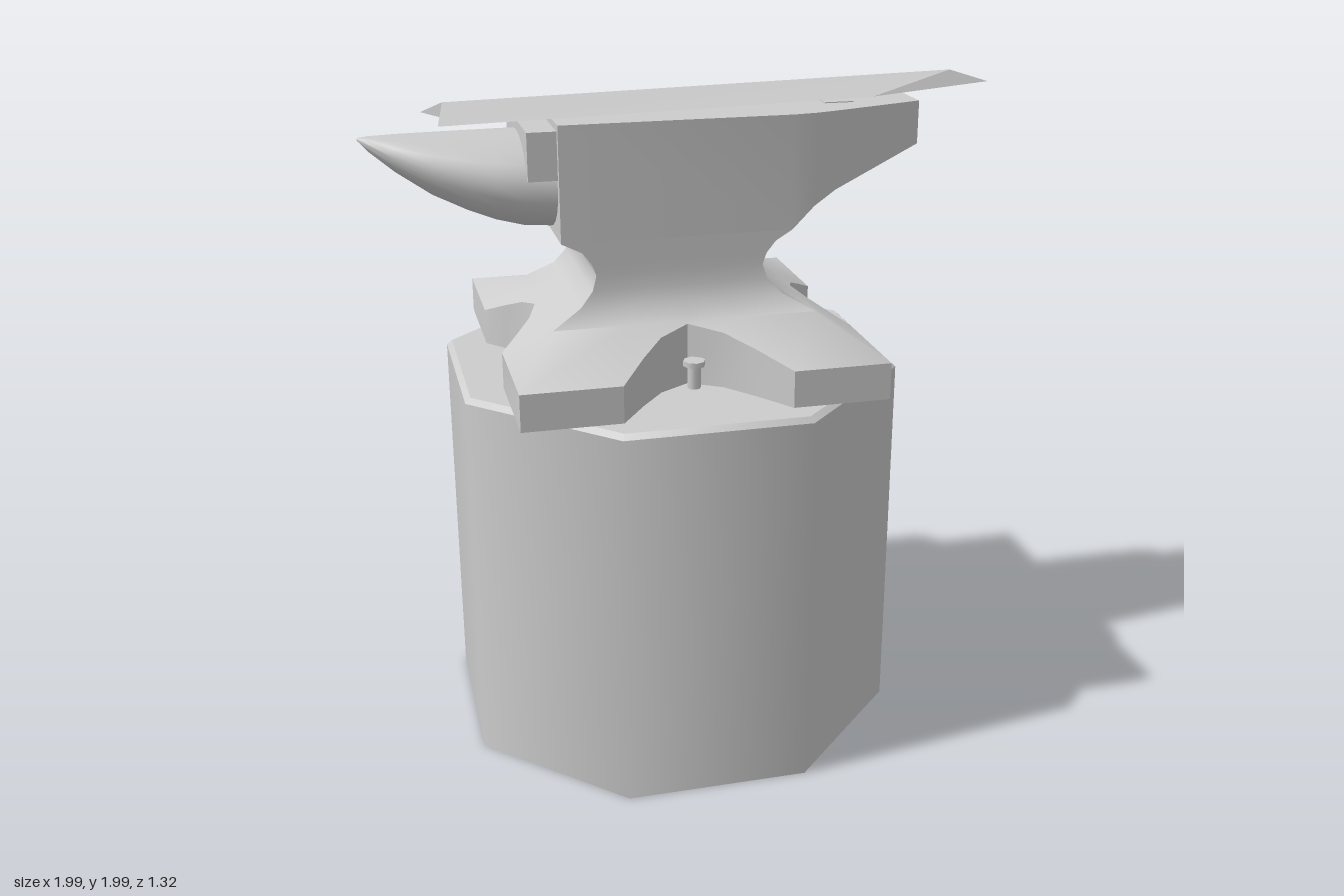
import * as THREE from 'three';
import { toCreasedNormals } from 'three/addons/utils/BufferGeometryUtils.js';

const CX = -0.1; // shared centre line of stump and anvil foot

// Skin a list of equal-length rings of [x, y, z] points, with fan caps on both ends
function loft(rings, crease) {
  const n = rings[0].length;
  const pos = [];
  const tri = (a, b, c) => pos.push(...a, ...b, ...c);
  for (let i = 0; i < rings.length - 1; i++) {
    for (let j = 0; j < n; j++) {
      const k = (j + 1) % n;
      const [a, b, c, d] = [rings[i][j], rings[i][k], rings[i + 1][k], rings[i + 1][j]];
      tri(a, b, c);
      tri(a, c, d);
    }
  }
  const middle = (ring) => [0, 1, 2].map((q) => ring.reduce((s, p) => s + p[q], 0) / n);
  const first = rings[0], last = rings[rings.length - 1];
  const m0 = middle(first), m1 = middle(last);
  for (let j = 0; j < n; j++) {
    const k = (j + 1) % n;
    tri(m0, first[k], first[j]);
    tri(m1, last[j], last[k]);
  }
  const geo = new THREE.BufferGeometry();
  geo.setAttribute('position', new THREE.Float32BufferAttribute(pos, 3));
  return toCreasedNormals(geo, crease);
}

// Rectangular ring whose sides may carry a curved notch: [position along the side, notch depth]
const NOTCH = [[-1, 0], [-0.67, 0.44], [-0.38, 0.78], [0, 1], [0.38, 0.78], [0.67, 0.44], [1, 0]];
function footRing(x0, x1, hz, y, notchZ = 0, notchX = 0, rise = 0) {
  const cx = (x0 + x1) / 2, hx = (x1 - x0) / 2;
  const ring = [];
  for (let side = 0; side < 4; side++) {
    const s = side < 2 ? 1 : -1;
    const alongX = side % 2 === 0;
    const points = [[-1, 0], ...NOTCH.map(([t, d]) => [t * (alongX ? 0.46 : 0.37), d])];
    for (const [t, d] of points) {
      if (alongX) ring.push([cx + s * t * hx, y + rise * d, s * (hz - notchZ * d)]);
      else ring.push([cx + s * (hx - notchX * d), y + rise * d, -s * t * hz]);
    }
  }
  return ring;
}

export function createModel() {
  const group = new THREE.Group();
  const grey = new THREE.MeshStandardMaterial({ color: 0xcccccc, side: THREE.DoubleSide });
  grey.name = 'plain grey';
  const add = (name, geo, x = 0, y = 0, z = 0) => {
    const mesh = new THREE.Mesh(geo, grey);
    mesh.name = name;
    mesh.position.set(x, y, z);
    group.add(mesh);
    return mesh;
  };

  // Eight-sided stump, open underneath, with a small bevel round the top
  const r = 0.66 / Math.cos(Math.PI / 8), rTop = r - 0.018;
  add('stumpSide', new THREE.CylinderGeometry(r, r, 1.155, 8, 1, true, Math.PI / 8), CX, 0.5775, 0);
  add('stumpBevel', new THREE.CylinderGeometry(rTop, r, 0.015, 8, 1, true, Math.PI / 8), CX, 1.1625, 0);
  add('stumpTop', new THREE.CircleGeometry(rTop, 8, Math.PI / 8).rotateX(-Math.PI / 2), CX, 1.17, 0);

  // Notched foot sweeping up into the waist
  add('anvilFoot', loft([
    footRing(-0.64, 0.43, 0.57, 1.17, 0.27, 0.13),
    footRing(-0.64, 0.43, 0.57, 1.28, 0.27, 0.13, 0.075),
    footRing(-0.5, 0.29, 0.29, 1.36),
    footRing(-0.41, 0.2, 0.25, 1.41),
    footRing(-0.372, 0.155, 0.238, 1.455),
    footRing(-0.36, 0.14, 0.235, 1.5),
    footRing(-0.372, 0.152, 0.235, 1.535),
    footRing(-0.4, 0.18, 0.235, 1.57),
    footRing(-0.46, 0.23, 0.235, 1.6),
  ], 0.7));

  // Body and tapering heel: [x, underside y, half width]
  const body = [[-0.46, 1.6, 0.235], [0.23, 1.6, 0.235], [0.3, 1.665, 0.225],
    [0.37, 1.705, 0.205], [0.66, 1.81, 0.11]];
  add('anvilBody', loft(body.map(([x, y, w]) =>
    [[x, 1.94, -w], [x, 1.94, w], [x, y, w], [x, y, -w]]), 0.75));

  // Rounded horn: [x, top y, underside y, half width]
  const horn = [[-1, 1.886, 1.878, 0.004], [-0.97, 1.889, 1.845, 0.03], [-0.9, 1.89, 1.785, 0.08],
    [-0.8, 1.89, 1.715, 0.13], [-0.7, 1.89, 1.665, 0.165], [-0.62, 1.89, 1.633, 0.19],
    [-0.54, 1.89, 1.612, 0.205], [-0.45, 1.89, 1.605, 0.21]];
  add('horn', loft(horn.map(([x, top, low, w]) => Array.from({ length: 24 }, (_, i) => {
    const a = (i / 24) * Math.PI * 2;
    return [x, (top + low) / 2 + Math.cos(a) * (top - low) / 2, Math.sin(a) * w];
  })), 0.8));

  // Step between horn and face, and the tool-hole plate on the heel
  add('step', new THREE.BoxGeometry(0.095, 0.14, 0.43), -0.4975, 1.85, 0);
  add('toolHole', new THREE.BoxGeometry(0.09, 0.004, 0.09), 0.415, 1.941, 0.042);

  // Nails in the front and back notches
  for (const z of [0.34, -0.34]) {
    add('nailShaft', new THREE.CylinderGeometry(0.02, 0.02, 0.07, 8), CX + 0.005, 1.205, z);
    add('nailHead', new THREE.CylinderGeometry(0.033, 0.033, 0.016, 8), CX + 0.005, 1.247, z);
  }

  // Unfinished blade lying askew on the face: flat below, ridged above
  const low = 1.945, high = 1.99;
  const backEnd = [-0.815, low, -0.035], frontEnd = [-0.785, low, 0.195], notch = [-0.76, low, 0.07];
  const backShoulder = [0.48, low, -0.19], frontShoulder = [0.54, low, 0.04], tip = [0.99, low, -0.135];
  const ridgeStart = [-0.76, high, 0.075], ridgeEnd = [0.85, high, -0.118];
  const faces = [
    [frontEnd, frontShoulder, ridgeEnd], [frontEnd, ridgeEnd, ridgeStart],
    [frontShoulder, tip, ridgeEnd], [tip, backShoulder, ridgeEnd],
    [backShoulder, backEnd, ridgeStart], [backShoulder, ridgeStart, ridgeEnd],
    [backEnd, notch, ridgeStart], [notch, frontEnd, ridgeStart],
    [notch, backEnd, backShoulder], [notch, backShoulder, frontShoulder],
    [notch, frontShoulder, frontEnd], [backShoulder, tip, frontShoulder],
  ];
  const blade = new THREE.BufferGeometry();
  blade.setAttribute('position', new THREE.Float32BufferAttribute(faces.flat(2), 3));
  blade.computeVertexNormals();
  add('blade', blade);

  return group;
}
